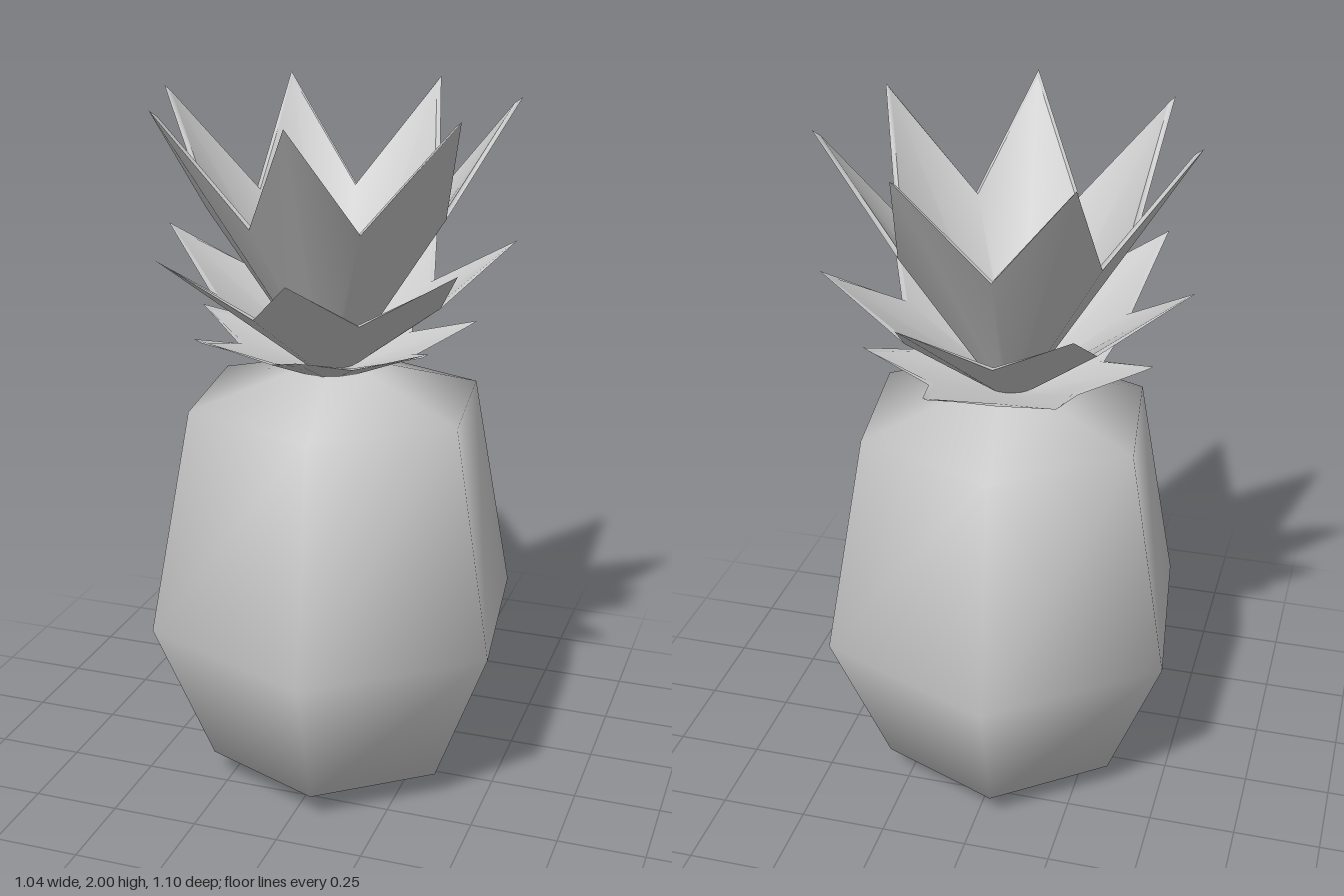
import * as THREE from 'three';

const material = new THREE.MeshStandardMaterial({ color: 0xcccccc });

// Skins a list of rings (arrays of points, bottom to top); a one-point ring is a pole.
function loft(name, rings, inward = false) {
  const positions = [], index = [], starts = [];
  for (const ring of rings) {
    starts.push(positions.length / 3);
    ring.forEach(p => positions.push(...p));
  }
  const sides = Math.max(...rings.map(r => r.length));
  const at = (i, j) => starts[i] + (j % rings[i].length);
  const tri = (a, b, c) => {
    if (a === b || b === c || a === c) return;
    index.push(...(inward ? [a, c, b] : [a, b, c]));
  };
  for (let i = 0; i < rings.length - 1; i++) {
    for (let j = 0; j < sides; j++) {
      tri(at(i, j), at(i + 1, j), at(i, j + 1));
      tri(at(i, j + 1), at(i + 1, j), at(i + 1, j + 1));
    }
  }
  const geometry = new THREE.BufferGeometry();
  geometry.setAttribute('position', new THREE.Float32BufferAttribute(positions, 3));
  geometry.setIndex(index);
  geometry.computeVertexNormals();
  const mesh = new THREE.Mesh(geometry, material);
  mesh.name = name;
  return mesh;
}

// Regular ring; radius 0 gives a pole.
function circle(radius, y, sides, turn) {
  if (radius === 0) return [[0, y, 0]];
  return Array.from({ length: sides }, (_, j) => {
    const a = turn + (j / sides) * Math.PI * 2;
    return [radius * Math.cos(a), y, radius * Math.sin(a)];
  });
}

// Zigzag ring alternating between leaf tips and the notches between them.
function star(tipR, tipY, notchR, notchY, leaves, turn) {
  return Array.from({ length: leaves * 2 }, (_, j) => {
    const a = turn + (j / leaves) * Math.PI;
    const r = j % 2 ? notchR : tipR;
    return [r * Math.cos(a), j % 2 ? notchY : tipY, r * Math.sin(a)];
  });
}

// One tier of leaves: a thin star-edged cup with outside, inside and rim.
function leafTier(name, { tipR, tipY, notchR, notchY, baseR }) {
  const leaves = 7, turn = THREE.MathUtils.degToRad(83.8);
  const outer = star(tipR, tipY, notchR, notchY, leaves, turn);
  const inner = star(tipR - 0.022, tipY - 0.015, notchR - 0.016, notchY, leaves, turn);
  const group = new THREE.Group();
  group.name = name;
  group.add(
    loft('leafOutside', [circle(0, 1.245, 1, 0), circle(baseR, 1.25, leaves * 2, turn), outer]),
    loft('leafInside', [circle(0, 1.262, 1, 0), circle(baseR - 0.01, 1.265, leaves * 2, turn), inner], true),
    loft('leafRim', [outer, inner])
  );
  return group;
}

export function createModel() {
  const model = new THREE.Group();
  model.name = 'pineapple';

  // Six-sided fruit with smooth shading
  const turn = THREE.MathUtils.degToRad(82.3);
  const profile = [[0, 0], [0.383, 0.08], [0.557, 0.51], [0.432, 1.16], [0.12, 1.25], [0, 1.255]];
  const fruit = loft('fruit', profile.map(([r, y]) => circle(r, y, 6, turn)));
  fruit.position.x = 0.008;
  model.add(fruit);

  // Crown of three nested leaf tiers
  const crown = new THREE.Group();
  crown.name = 'crown';
  crown.add(
    leafTier('lowerLeaves', { tipR: 0.41, tipY: 1.38, notchR: 0.26, notchY: 1.315, baseR: 0.11 }),
    leafTier('middleLeaves', { tipR: 0.515, tipY: 1.61, notchR: 0.33, notchY: 1.455, baseR: 0.06 }),
    leafTier('upperLeaves', { tipR: 0.515, tipY: 2, notchR: 0.34, notchY: 1.7, baseR: 0.045 })
  );
  crown.position.x = -0.008;
  model.add(crown);
  return model;
}
